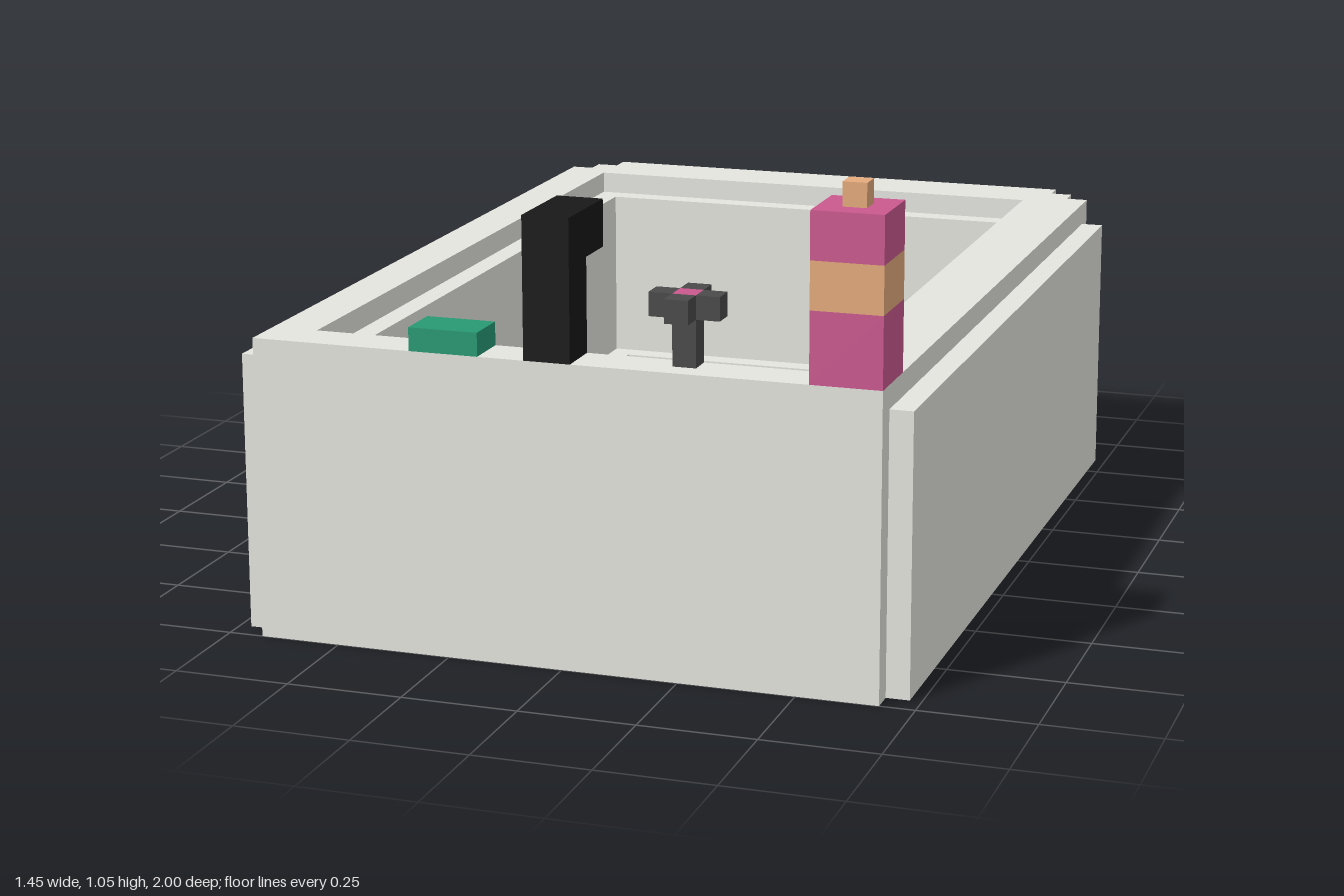
import * as THREE from 'three';

const mat = (name, color) => {
  const m = new THREE.MeshStandardMaterial({ color });
  m.name = name;
  return m;
};

export function createModel() {
  const stone = mat('tub grey', 0xe5e5df);
  const pink = mat('bottle pink', 0xcb598f);
  const tan = mat('tan', 0xe5aa7d);
  const green = mat('soap green', 0x289974);
  const black = mat('tap black', 0x181818);
  const dark = mat('dark metal', 0x4a4a4a);
  const steel = mat('drain grey', 0x7a7c7c);
  const yellow = mat('duck yellow', 0xe5cc4a);

  const model = new THREE.Group();
  const group = (name) => {
    const g = new THREE.Group();
    g.name = name;
    model.add(g);
    return g;
  };
  // Box given by its minimum and maximum corners
  const box = (parent, name, m, x0, x1, y0, y1, z0, z1) => {
    const mesh = new THREE.Mesh(new THREE.BoxGeometry(x1 - x0, y1 - y0, z1 - z0), m);
    mesh.position.set((x0 + x1) / 2, (y0 + y1) / 2, (z0 + z1) / 2);
    mesh.name = name;
    parent.add(mesh);
  };
  // Horizontal slab from an outline of [x, z] points with one hole (wound the other way)
  const slab = (parent, name, m, y0, y1, outline, hole) => {
    const toPoints = (list) => list.map(([x, z]) => new THREE.Vector2(x, -z));
    const shape = new THREE.Shape(toPoints(outline));
    if (hole) shape.holes.push(new THREE.Path(toPoints(hole)));
    const geo = new THREE.ExtrudeGeometry(shape, { depth: y1 - y0, bevelEnabled: false });
    geo.rotateX(-Math.PI / 2);
    const mesh = new THREE.Mesh(geo, m);
    mesh.position.y = y0;
    mesh.name = name;
    parent.add(mesh);
  };
  const mirrorX = (half) => [...half, ...half.map(([x, z]) => [-x, z]).reverse()];
  const rect = (x0, x1, z0, z1) => [[x0, z0], [x0, z1], [x1, z1], [x1, z0]];

  // Tub outlines with stepped corners: the rim is one step narrower
  const back = [[0.575, -1], [0.575, -0.95], [0.625, -0.95], [0.625, -0.9], [0.675, -0.9]];
  const rimOutline = mirrorX([...back, [0.675, 1]]);
  const wallOutline = mirrorX([...back, [0.675, -0.85], [0.725, -0.85], [0.725, 0.95], [0.675, 0.95], [0.675, 1]]);

  // Stepped diamond for the drain
  const steps = [[0.015, 0.122], [0.025, 0.105], [0.04, 0.092], [0.06, 0.075], [0.075, 0.06], [0.092, 0.04], [0.105, 0.025], [0.122, 0.015]];
  const quarter = [];
  steps.forEach(([x, z], i) => {
    if (i) quarter.push([steps[i - 1][0], z]);
    quarter.push([x, z]);
  });
  const half = [...quarter, ...quarter.map(([x, z]) => [x, -z]).reverse()];
  const drainOutline = mirrorX(half).map(([x, z]) => [x, z + 0.625]);

  // Tub in layers, its basin widening upwards
  const tub = group('tub');
  slab(tub, 'tubFloor', stone, 0, 0.1, wallOutline, drainOutline);
  slab(tub, 'lowerStep', stone, 0.1, 0.15, wallOutline, rect(-0.425, 0.375, -0.7, 0.75));
  slab(tub, 'upperStep', stone, 0.15, 0.2, wallOutline, rect(-0.475, 0.425, -0.75, 0.8));
  slab(tub, 'tubWall', stone, 0.2, 0.6, wallOutline, rect(-0.525, 0.475, -0.8, 0.85));
  slab(tub, 'tubRim', stone, 0.6, 0.65, rimOutline, rect(-0.575, 0.525, -0.85, 0.9));
  slab(tub, 'drain', steel, 0, 0.1, drainOutline);

  // Overflow ring on the inner front wall
  const overflow = group('overflowRing');
  for (const y of [0.35, 0.5]) box(overflow, 'ringBar', dark, -0.075, 0.025, y, y + 0.05, 0.8, 0.85);
  for (const x of [-0.125, 0.025]) box(overflow, 'ringSide', dark, x, x + 0.05, 0.4, 0.5, 0.8, 0.85);

  // Spout
  const spout = group('spout');
  box(spout, 'spoutPost', black, -0.075, 0.025, 0.65, 0.95, 0.9, 1);
  box(spout, 'spoutArm', black, -0.075, 0.025, 0.85, 0.95, 0.8, 0.9);

  // Tap handle: a cross with a pink centre
  const handle = group('tapHandle');
  box(handle, 'handleStem', dark, 0.225, 0.275, 0.65, 0.75, 0.9, 0.95);
  box(handle, 'handleCentre', pink, 0.225, 0.275, 0.75, 0.8, 0.9, 0.95);
  for (const s of [-0.05, 0.05]) {
    box(handle, 'handleArm', dark, 0.225 + s, 0.275 + s, 0.75, 0.8, 0.9, 0.95);
    box(handle, 'handleArm', dark, 0.225, 0.275, 0.75, 0.8, 0.9 + s, 0.95 + s);
  }

  // Bottle with a tan band and cap
  const bottle = group('bottle');
  box(bottle, 'bottleBase', pink, 0.525, 0.675, 0.65, 0.8, 0.85, 1);
  box(bottle, 'bottleBand', tan, 0.525, 0.675, 0.8, 0.9, 0.85, 1);
  box(bottle, 'bottleTop', pink, 0.525, 0.675, 0.9, 1, 0.85, 1);
  box(bottle, 'bottleCap', tan, 0.575, 0.625, 1, 1.05, 0.9, 0.95);

  // Soap bar
  box(model, 'soap', green, -0.325, -0.175, 0.65, 0.7, 0.9, 1);

  // Bath duck on the basin floor
  const duck = group('duck');
  box(duck, 'duckBody', yellow, -0.125, -0.025, 0.1, 0.2, -0.05, 0.25);
  box(duck, 'duckHead', yellow, -0.125, -0.025, 0.2, 0.3, 0.15, 0.25);
  box(duck, 'duckBeak', tan, -0.125, -0.025, 0.2, 0.25, 0.25, 0.3);
  for (const x of [-0.175, -0.025]) box(duck, 'duckWing', yellow, x, x + 0.05, 0.15, 0.2, 0.05, 0.15);

  return model;
}
